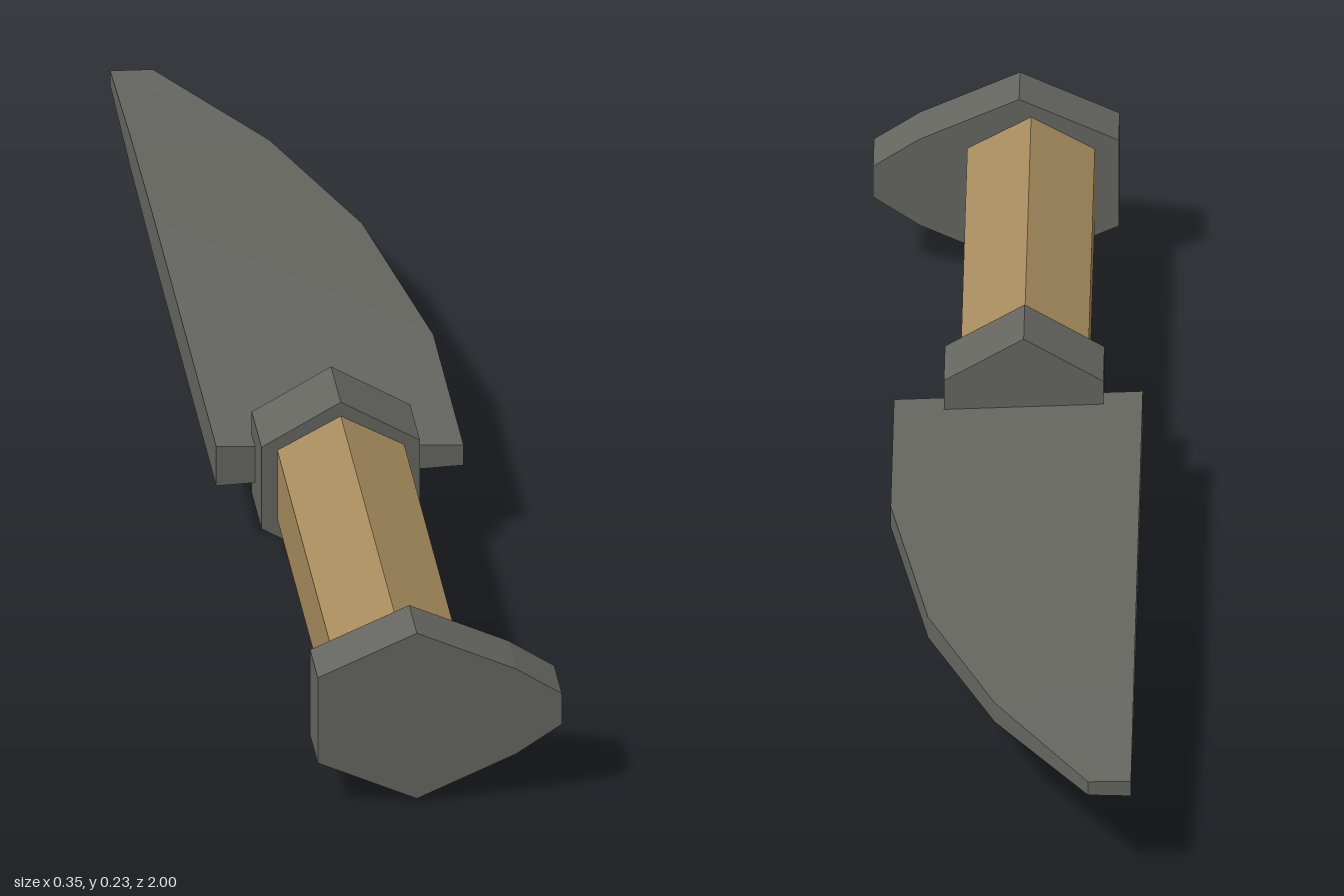
import * as THREE from 'three';

export function createModel() {
  const steel = new THREE.MeshStandardMaterial({ color: 0x666661, flatShading: true });
  steel.name = 'darkSteel';
  const wood = new THREE.MeshStandardMaterial({ color: 0xa78c5e, flatShading: true });
  wood.name = 'wood';
  const model = new THREE.Group();
  model.name = 'knife';

  const add = (name, geometry, material) => {
    const mesh = new THREE.Mesh(geometry, material);
    mesh.name = name;
    model.add(mesh);
  };

  // Prism along z from an outline in x and y
  const prism = (name, outline, z0, z1, material) => {
    const shape = new THREE.Shape(outline.map(([x, y]) => new THREE.Vector2(x, y)));
    const geometry = new THREE.ExtrudeGeometry(shape, { depth: z1 - z0, bevelEnabled: false });
    geometry.translate(0, 0, z0);
    add(name, geometry, material);
  };

  // Six-sided outline with its points at the top and bottom
  const hexagon = (cx, cy, halfWidth, halfHeight, shoulder) => [
    [cx, cy - halfHeight], [cx + halfWidth, cy - shoulder], [cx + halfWidth, cy + shoulder],
    [cx, cy + halfHeight], [cx - halfWidth, cy + shoulder], [cx - halfWidth, cy - shoulder],
  ];

  // Handle and guard
  prism('handle', hexagon(-0.025, 0.118, 0.08, 0.09, 0.047), 0.25, 0.93, wood);
  prism('guard', hexagon(-0.025, 0.114, 0.1, 0.113, 0.056), 0.163, 0.273, steel);

  // Pommel with a beak on one side
  prism('pommel', [
    [-0.135, 0.06], [-0.01, 0.005], [0.115, 0.06], [0.173, 0.098],
    [0.173, 0.14], [0.115, 0.177], [-0.01, 0.232], [-0.135, 0.177],
  ], 0.913, 1, steel);

  // Blade cross-sections: z, cutting edge x, half thickness at spine and edge
  const spineX = -0.174, midY = 0.114;
  const sections = [
    [0.2, 0.138, 0.027, 0.014],
    [-0.14, 0.138, 0.027, 0.014],
    [-0.49, 0.087, 0.027, 0.014],
    [-0.76, 0.0, 0.022, 0.013],
    [-1, -0.12, 0.01, 0.009],
  ].map(([z, x, spine, edge]) => [
    [spineX, midY - spine, z], [x, midY - edge, z],
    [x, midY + edge, z], [spineX, midY + spine, z],
  ]);
  const points = [];
  const quad = (a, b, c, d) => points.push(...a, ...b, ...c, ...a, ...c, ...d);
  for (let i = 0; i < sections.length - 1; i++) {
    const near = sections[i], far = sections[i + 1];
    for (let j = 0; j < 4; j++) {
      const k = (j + 1) % 4;
      quad(near[j], far[j], far[k], near[k]);
    }
  }
  const tip = sections[sections.length - 1];
  quad(...sections[0]);
  quad(...[...tip].reverse());
  const blade = new THREE.BufferGeometry();
  blade.setAttribute('position', new THREE.Float32BufferAttribute(points, 3));
  blade.computeVertexNormals();
  add('blade', blade, steel);

  return model;
}
